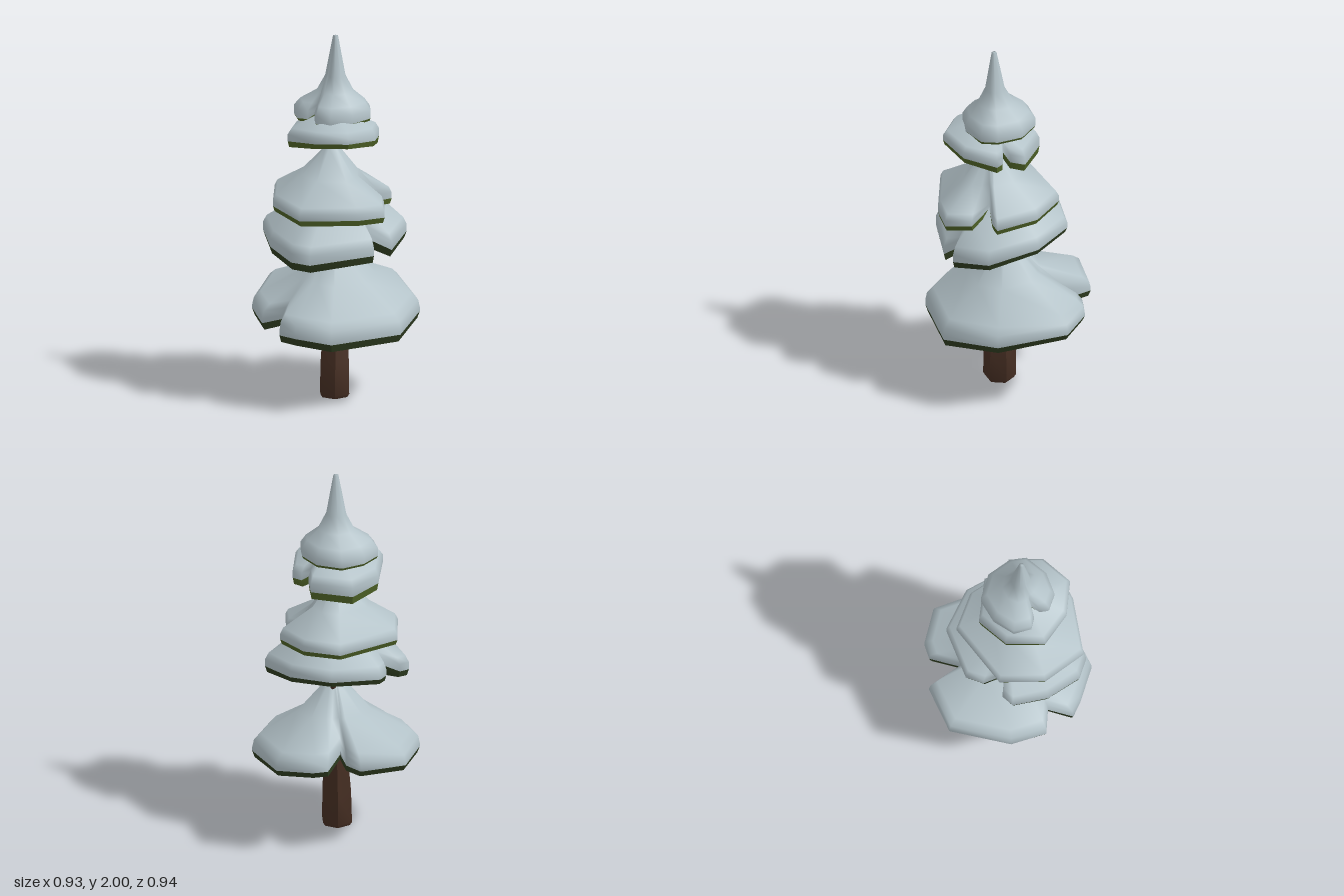
import * as THREE from 'three';
import { toCreasedNormals } from 'three/addons/utils/BufferGeometryUtils.js';

const mat = (name, color) => Object.assign(new THREE.MeshStandardMaterial({ color }), { name });

// Skins a list of closed rings (arrays of Vector3 with equal counts)
function loft(rings) {
  const n = rings[0].length, pos = [], idx = [];
  rings.forEach(r => r.forEach(p => pos.push(p.x, p.y, p.z)));
  for (let k = 0; k < rings.length - 1; k++) {
    for (let i = 0; i < n; i++) {
      const j = (i + 1) % n;
      const a = k * n + i, b = k * n + j, c = a + n, d = b + n;
      idx.push(a, c, d, a, d, b);
    }
  }
  const g = new THREE.BufferGeometry();
  g.setAttribute('position', new THREE.Float32BufferAttribute(pos, 3));
  g.setIndex(idx);
  g.computeVertexNormals();
  return g;
}

// One tier of branches: apex point, tilted rim plane [height at axis, slope x, slope z],
// rim corners [x, z], and snow profile as [radius, height] fractions from rim to apex
function makeTier(name, apex, plane, rim, profile, snowMat, needleMat) {
  const [ax, ay, az] = apex, n = rim.length;
  const radii = rim.map(([x, z]) => Math.hypot(x - ax, z - az));
  const at = i => radii[(i + n) % n];
  // Corners well inside both neighbours are folds, which rise a little
  const isFold = i => at(i) < 0.85 * Math.min(at(i - 1), at(i + 1));

  const ring = (f, t) => rim.map(([x, z], i) => {
    let r = at(i);
    if (f < 0.7) { // folds fade out towards the trunk
      const mean = (at(i - 2) + at(i - 1) + r + at(i + 1) + at(i + 2)) / 5;
      r = Math.min(mean, r * 0.95 / Math.max(f, 0.01));
    }
    const dx = x - ax, dz = z - az, s = f * r / at(i);
    const rimY = plane[0] + plane[1] * dx + plane[2] * dz + (isFold(i) ? 0.04 : 0);
    return new THREE.Vector3(ax + dx * s, rimY + (ay - rimY) * t, az + dz * s);
  });

  const group = new THREE.Group();
  group.name = name;
  const snow = new THREE.Mesh(loft(profile.map(([f, t]) => ring(f, t))), snowMat);
  snow.name = 'snowCap';

  // Needle underside, slightly hollow, with a thin visible edge
  const hollow = rim.map(() => new THREE.Vector3(ax, plane[0] + 0.03, az));
  const needles = new THREE.Mesh(
    toCreasedNormals(loft([hollow, ring(0.97, 0), ring(1, profile[0][1])]), 0.7), needleMat);
  needles.name = 'needles';
  group.add(snow, needles);
  return group;
}

// Bent six-sided trunk, [x, y, z, radius] per ring
function makeTrunk(material) {
  const path = [[-0.062, 0, 0.045, 0], [-0.062, 0, 0.045, 0.075], [-0.062, 0.02, 0.045, 0.088],
    [-0.06, 0.2, 0.045, 0.084], [-0.03, 0.4, 0.022, 0.07], [-0.045, 0.88, 0.045, 0.042],
    [-0.095, 1.45, 0.07, 0.026], [-0.08, 1.65, 0.07, 0.015]];
  const rings = path.map(([x, y, z, r]) => Array.from({ length: 6 }, (_, i) => {
    const a = i * Math.PI / 3 + 0.25;
    return new THREE.Vector3(x + r * Math.cos(a), y, z + r * Math.sin(a));
  }));
  const trunk = new THREE.Mesh(toCreasedNormals(loft(rings), 0.9), material);
  trunk.name = 'trunk';
  return trunk;
}

export function createModel() {
  const snow = mat('snow', 0xb3c2c8);
  const dark = mat('darkNeedles', 0x2f3d20);
  const olive = mat('oliveNeedles', 0x4f6327);
  const bark = mat('bark', 0x483024);

  const tree = new THREE.Group();
  tree.name = 'snowyPine';
  tree.add(makeTrunk(bark));

  tree.add(makeTier('lowestBough', [-0.03, 0.87, 0.03], [0.415, 0.08, -0.1],
    [[0.466, 0], [0.29, 0.33], [0, 0.468], [-0.36, 0.31], [-0.44, 0.12], [-0.465, 0.03], [-0.35, -0.04],
      [-0.42, -0.14], [-0.32, -0.31], [-0.03, -0.47], [0.2, -0.36], [0.17, -0.23], [0.13, -0.15],
      [0.31, -0.225], [0.38, -0.18]],
    [[1, 0.08], [1, 0.13], [0.98, 0.22], [0.9, 0.3], [0.45, 0.56], [0.1, 0.95], [0, 1]], snow, dark));

  tree.add(makeTier('lowerBough', [-0.07, 1.25, 0.05], [0.865, 0.17, -0.13],
    [[0.29, 0.06], [0.2, 0.32], [0, 0.405], [-0.05, 0.27], [-0.11, 0.38], [-0.41, 0.2], [-0.45, 0.1],
      [-0.4, -0.1], [-0.29, -0.26], [-0.22, -0.26], [-0.16, -0.17], [-0.1, -0.27], [-0.01, -0.31], [0.23, -0.18]],
    [[1, 0.09], [1, 0.2], [0.95, 0.3], [0.6, 0.55], [0.2, 0.88], [0, 1]], snow, dark));

  tree.add(makeTier('middleBough', [-0.1, 1.41, 0.07], [1.055, 0.03, -0.07],
    [[0.23, 0.02], [0.17, 0.24], [0.1, 0.22], [0.01, 0.17], [0.04, 0.31], [-0.06, 0.41], [-0.2, 0.35],
      [-0.435, 0.15], [-0.38, -0.1], [-0.2, -0.26], [0.16, -0.18]],
    [[1, 0.08], [1, 0.17], [0.95, 0.26], [0.5, 0.54], [0.12, 0.95], [0, 1]], snow, olive));

  tree.add(makeTier('upperBough', [-0.09, 1.62, 0.07], [1.4, -0.13, 0.15],
    [[0.15, 0.04], [0.1, 0.1], [0.05, 0.11], [0.1, 0.15], [0.115, 0.2], [-0.03, 0.31], [-0.22, 0.3],
      [-0.32, 0.15], [-0.33, -0.04], [-0.16, -0.16], [0.03, -0.15]],
    [[1, 0.16], [1, 0.35], [0.92, 0.5], [0.5, 0.73], [0, 1]], snow, olive));

  tree.add(makeTier('treetop', [-0.08, 2, 0.07], [1.54, 0, 0],
    [[0.115, 0.03], [0.08, 0.165], [0.02, 0.23], [-0.115, 0.23], [-0.22, 0.17], [-0.25, 0.09], [-0.22, 0.05],
      [-0.17, 0.035], [-0.22, 0], [-0.245, -0.05], [-0.19, -0.13], [-0.065, -0.145], [0.06, -0.1]],
    [[1, 0.03], [1, 0.13], [0.85, 0.22], [0.5, 0.34], [0.28, 0.52], [0.07, 1], [0, 1]], snow, olive));

  // Small hooked twig under the second tier
  const curve = new THREE.CatmullRomCurve3([[-0.04, 0.83, 0.03], [0.04, 0.84, -0.02], [0.08, 0.87, -0.05],
    [0.08, 0.96, -0.06]].map(p => new THREE.Vector3(...p)));
  const twig = new THREE.Mesh(new THREE.TubeGeometry(curve, 8, 0.013, 6), bark);
  twig.name = 'twig';
  tree.add(twig);
  return tree;
}
